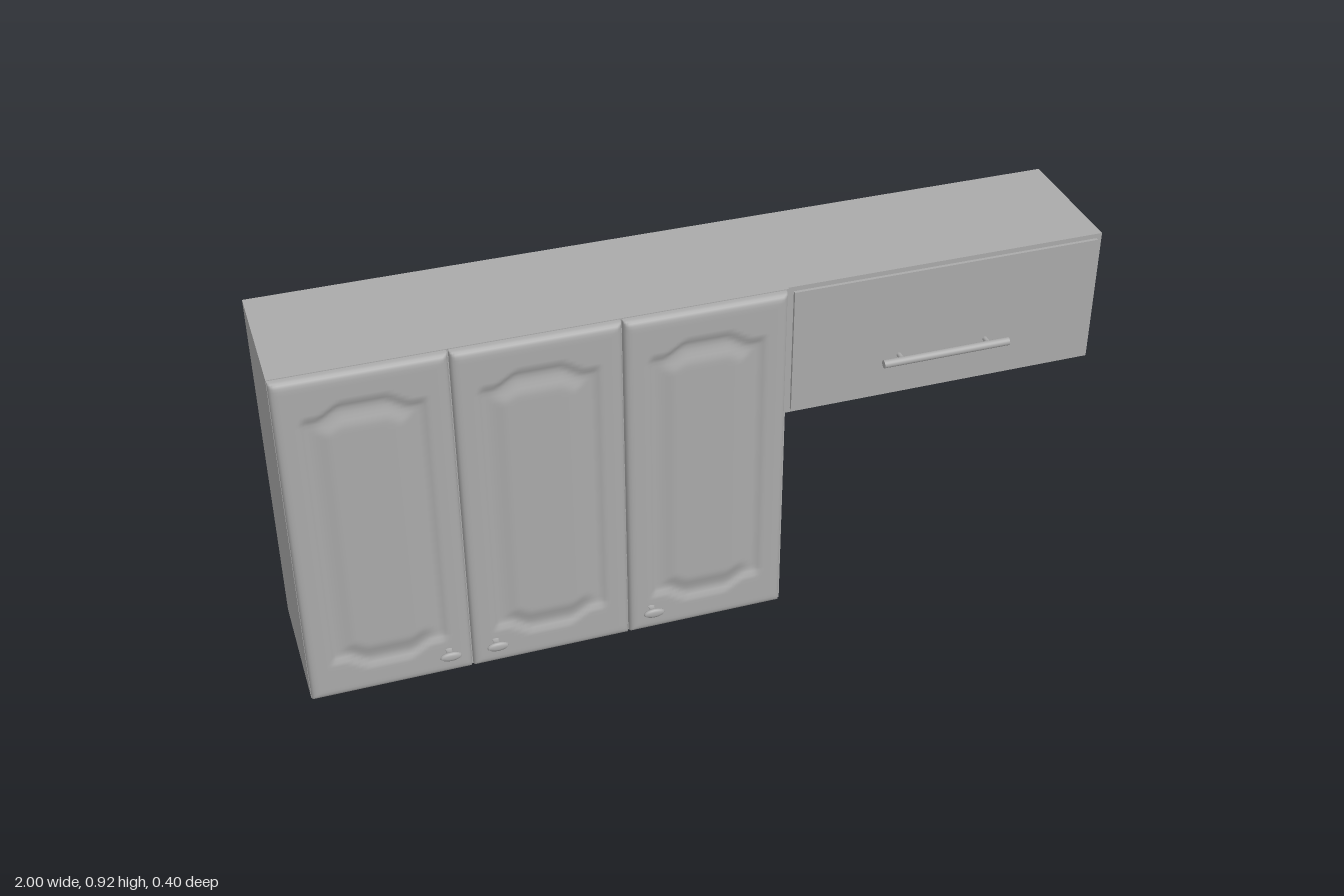
import * as THREE from 'three';

const FRONT = 0.145; // front plane of the cabinet bodies

export function createModel() {
  const model = new THREE.Group();
  const grey = new THREE.MeshStandardMaterial({ color: 0xaaaaaa });
  grey.name = 'grey';

  const add = (name, geometry, x = 0, y = 0, z = 0) => {
    const mesh = new THREE.Mesh(geometry, grey);
    mesh.name = name;
    mesh.position.set(x, y, z);
    model.add(mesh);
    return mesh;
  };
  const box = (name, x0, x1, y0, y1, z0, z1) =>
    add(name, new THREE.BoxGeometry(x1 - x0, y1 - y0, z1 - z0), (x0 + x1) / 2, (y0 + y1) / 2, (z0 + z1) / 2);

  // Cabinet bodies
  box('tallCabinet', -1, 0.198, 0, 0.92, -0.2, FRONT);
  box('shortCabinet', 0.198, 1, 0.57, 0.92, -0.2, 0.14);

  // Three doors with a rounded rim and a routed panel
  const doorShape = doorGeometry(0.394, 0.912);
  for (const x of [-0.802, -0.404, -0.006]) add('door', doorShape, x, 0.462, FRONT);

  // Flat lift-up flap
  box('flap', 0.212, 0.986, 0.582, 0.908, 0.14, 0.148);

  // Oval door knobs
  const knobProfile = [[0.013, 0], [0.009, 0.003], [0.007, 0.01], [0.008, 0.018], [0.015, 0.023],
    [0.024, 0.027], [0.027, 0.031], [0.024, 0.035], [0.012, 0.037], [0, 0.037]];
  const knobShape = new THREE.LatheGeometry(knobProfile.map(([r, h]) => new THREE.Vector2(r, h)), 24);
  knobShape.rotateX(Math.PI / 2).scale(1, 0.45, 1);
  for (const x of [-0.662, -0.546, -0.15]) add('doorKnob', knobShape, x, 0.08, 0.164);

  // Bar handle on two posts
  const bar = add('handleBar', new THREE.CylinderGeometry(0.01, 0.01, 0.326, 20), 0.597, 0.683, 0.176);
  bar.rotation.z = Math.PI / 2;
  for (const x of [0.485, 0.71]) {
    const post = add('handlePost', new THREE.CylinderGeometry(0.006, 0.006, 0.028, 16), x, 0.683, 0.161);
    post.rotation.x = Math.PI / 2;
  }
  return model;
}

// Grid lines across one door side, packed closely along the rounded rim
function gridLines(size, steps) {
  const rim = [0, 0, 0.002, 0.006, 0.012, 0.02];
  const lines = rim.map(d => d - size / 2);
  const inner = size - 0.04;
  for (let i = 1; i < steps; i++) lines.push(-inner / 2 + inner * i / steps);
  return lines.concat(rim.map(d => size / 2 - d).reverse());
}

// Relief height at a point of the door
function relief(u, v, w, h) {
  const smooth = THREE.MathUtils.smoothstep;
  const edge = Math.min(w / 2 - Math.abs(u), h / 2 - Math.abs(v));
  const rim = 1 - Math.min(edge / 0.02, 1);
  const height = 0.009 + 0.014 * Math.sqrt(1 - rim * rim);
  // Panel outline is arched in the middle of its top and bottom
  const arch = 0.345 + 0.03 * (1 - smooth(Math.abs(u), 0.045, 0.11));
  const inside = Math.min(w / 2 - 0.052 - Math.abs(u), arch + 0.01 - Math.abs(v));
  const groove = smooth(inside, 0, 0.018) * (1 - smooth(inside, 0.022, 0.07));
  return height - 0.008 * groove + 0.002 * smooth(inside, 0.04, 0.075);
}

function doorGeometry(w, h) {
  const xs = gridLines(w, 44), ys = gridLines(h, 84);
  const positions = [], index = [];
  const nx = xs.length, ny = ys.length;
  for (let j = 0; j < ny; j++) {
    for (let i = 0; i < nx; i++) {
      const outer = i === 0 || j === 0 || i === nx - 1 || j === ny - 1;
      positions.push(xs[i], ys[j], outer ? 0 : relief(xs[i], ys[j], w, h));
      if (i < nx - 1 && j < ny - 1) {
        const a = j * nx + i, b = a + 1, c = a + nx, d = c + 1;
        index.push(a, b, d, a, d, c);
      }
    }
  }
  const geometry = new THREE.BufferGeometry();
  geometry.setAttribute('position', new THREE.Float32BufferAttribute(positions, 3));
  geometry.setIndex(index);
  geometry.computeVertexNormals();
  return geometry;
}
